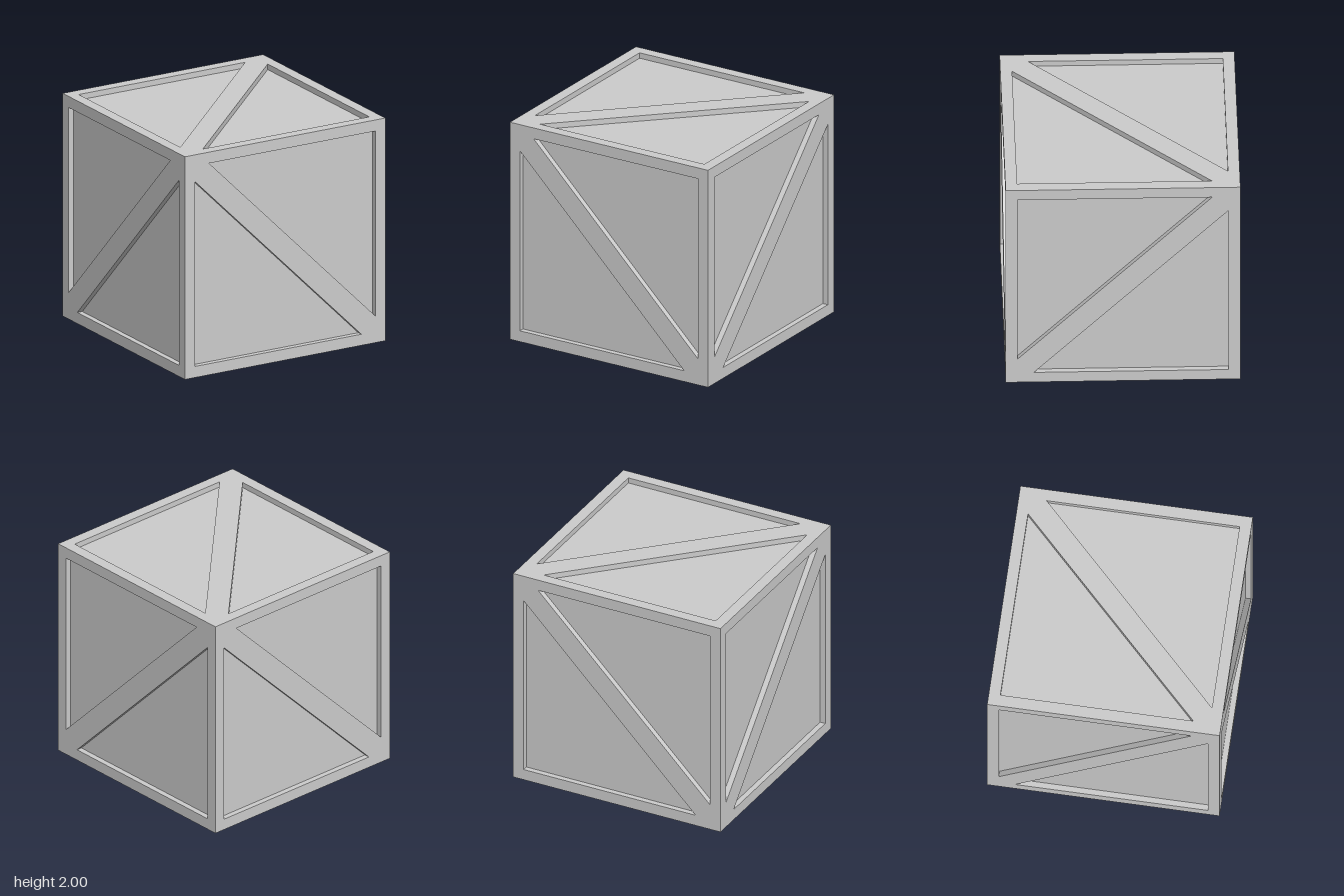
import * as THREE from 'three';

const HALF = 1;       // half the crate's side
const BORDER = 0.9;   // inner edge of the frame
const TIP = 0.76;     // where the diagonal brace meets the border
const DEPTH = 0.05;   // how far the panels are set back

// Square frame with a diagonal brace, its outer rim mitred to meet its neighbours
function frameGeometry() {
  const v = (x, y) => new THREE.Vector2(x, y);
  const shape = new THREE.Shape([v(-HALF, -HALF), v(HALF, -HALF), v(HALF, HALF), v(-HALF, HALF)]);
  for (const s of [1, -1]) {
    shape.holes.push(new THREE.Path([
      v(-TIP * s, BORDER * s), v(BORDER * s, BORDER * s), v(BORDER * s, -TIP * s),
    ]));
  }
  const geometry = new THREE.ExtrudeGeometry(shape, { depth: DEPTH, bevelEnabled: false });
  geometry.translate(0, 0, HALF - DEPTH);
  const p = geometry.attributes.position;
  const inner = HALF - DEPTH;
  for (let i = 0; i < p.count; i++) {
    if (p.getZ(i) < HALF - DEPTH / 2) {
      p.setX(i, THREE.MathUtils.clamp(p.getX(i), -inner, inner));
      p.setY(i, THREE.MathUtils.clamp(p.getY(i), -inner, inner));
    }
  }
  geometry.computeVertexNormals();
  return geometry;
}

export function createModel() {
  const crate = new THREE.Group();
  crate.name = 'crate';
  const material = new THREE.MeshStandardMaterial({ color: 0xcccccc });

  // Inner box whose sides are the recessed panels
  const side = 2 * (HALF - DEPTH);
  const panels = new THREE.Mesh(new THREE.BoxGeometry(side, side, side), material);
  panels.name = 'panels';
  panels.position.y = HALF;
  crate.add(panels);

  // One braced frame per side; a quarter turn about z flips the brace
  const q = Math.PI / 2;
  const geometry = frameGeometry();
  const frames = [
    ['frontFrame', 0, 0, 0],
    ['backFrame', 0, 2 * q, 0],
    ['leftFrame', 0, q, q],
    ['rightFrame', 0, -q, q],
    ['topFrame', -q, 0, q],
    ['bottomFrame', q, 0, q],
  ];
  for (const [name, rx, ry, rz] of frames) {
    const frame = new THREE.Mesh(geometry, material);
    frame.name = name;
    frame.rotation.set(rx, ry, rz);
    frame.position.y = HALF;
    crate.add(frame);
  }
  return crate;
}
